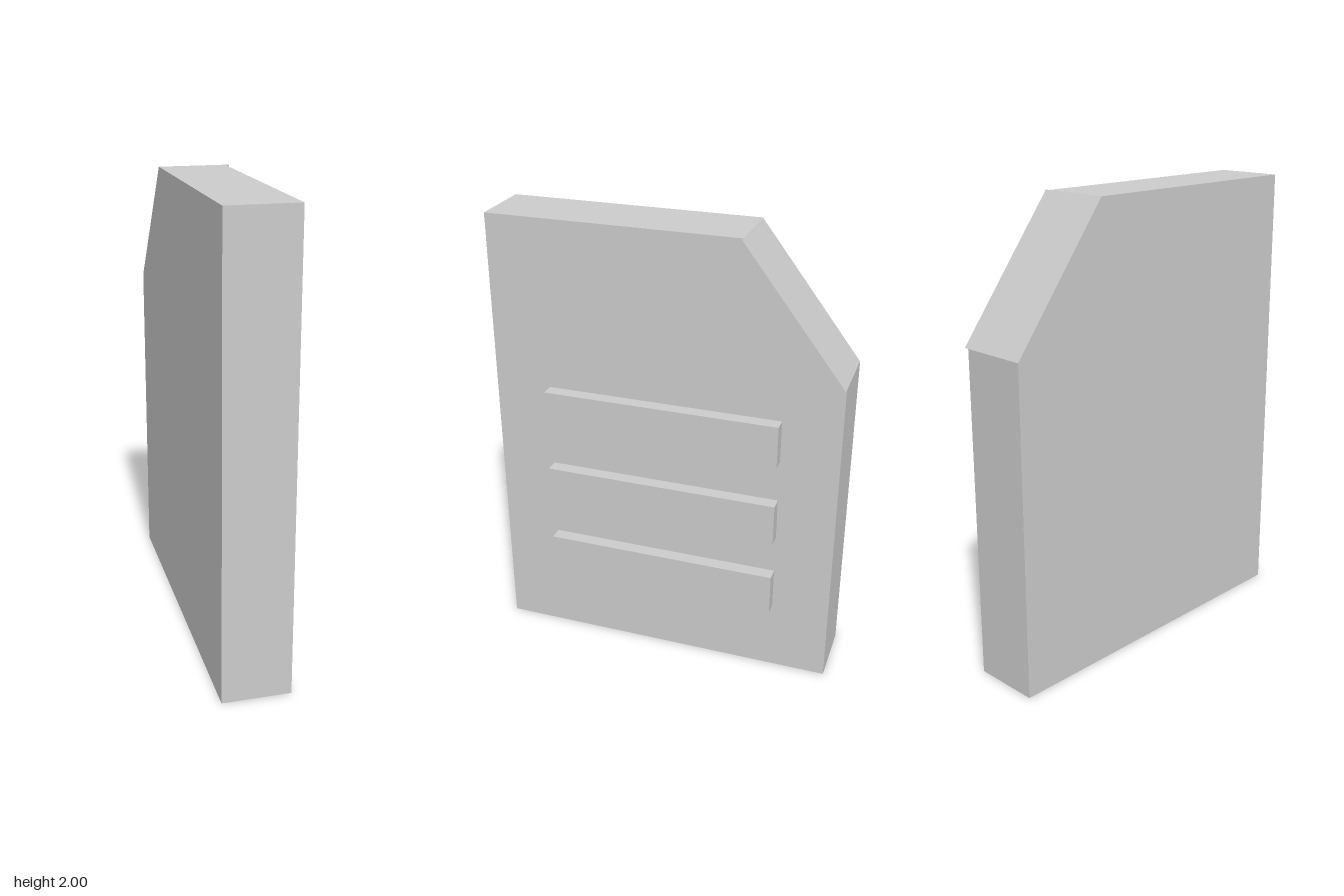
import * as THREE from 'three';

const material = new THREE.MeshStandardMaterial({ color: 0xcccccc, flatShading: true });

// Extrudes an outline given as [-z, y] points between two x positions.
function slab(name, points, x0, x1) {
  const shape = new THREE.Shape(points.map(([u, v]) => new THREE.Vector2(u, v)));
  const geometry = new THREE.ExtrudeGeometry(shape, { depth: x1 - x0, bevelEnabled: false });
  geometry.rotateY(Math.PI / 2).translate(x0, 0, 0);
  const mesh = new THREE.Mesh(geometry, material);
  mesh.name = name;
  return mesh;
}

export function createModel() {
  const group = new THREE.Group();
  group.name = 'documentIcon';

  const back = -0.178, face = 0.118;
  const side = 0.77, foldU = 0.33, foldY = 1.43;

  // Thick page with one corner cut off
  group.add(slab('page', [
    [-side, 0], [side, 0], [side, foldY], [foldU, 2], [-side, 2],
  ], back, face));

  // Thin triangular flap folded over the cut corner
  group.add(slab('foldedCorner', [
    [foldU, foldY], [side, foldY], [foldU, 2],
  ], face, 0.139));

  // Three raised text bars
  const bars = new THREE.Group();
  bars.name = 'textBars';
  for (const y of [0.42, 0.781, 1.157]) {
    const bar = new THREE.Mesh(new THREE.BoxGeometry(0.06, 0.187, 1.035), material);
    bar.name = 'textBar';
    bar.position.set(0.148, y, 0);
    bars.add(bar);
  }
  group.add(bars);

  return group;
}
